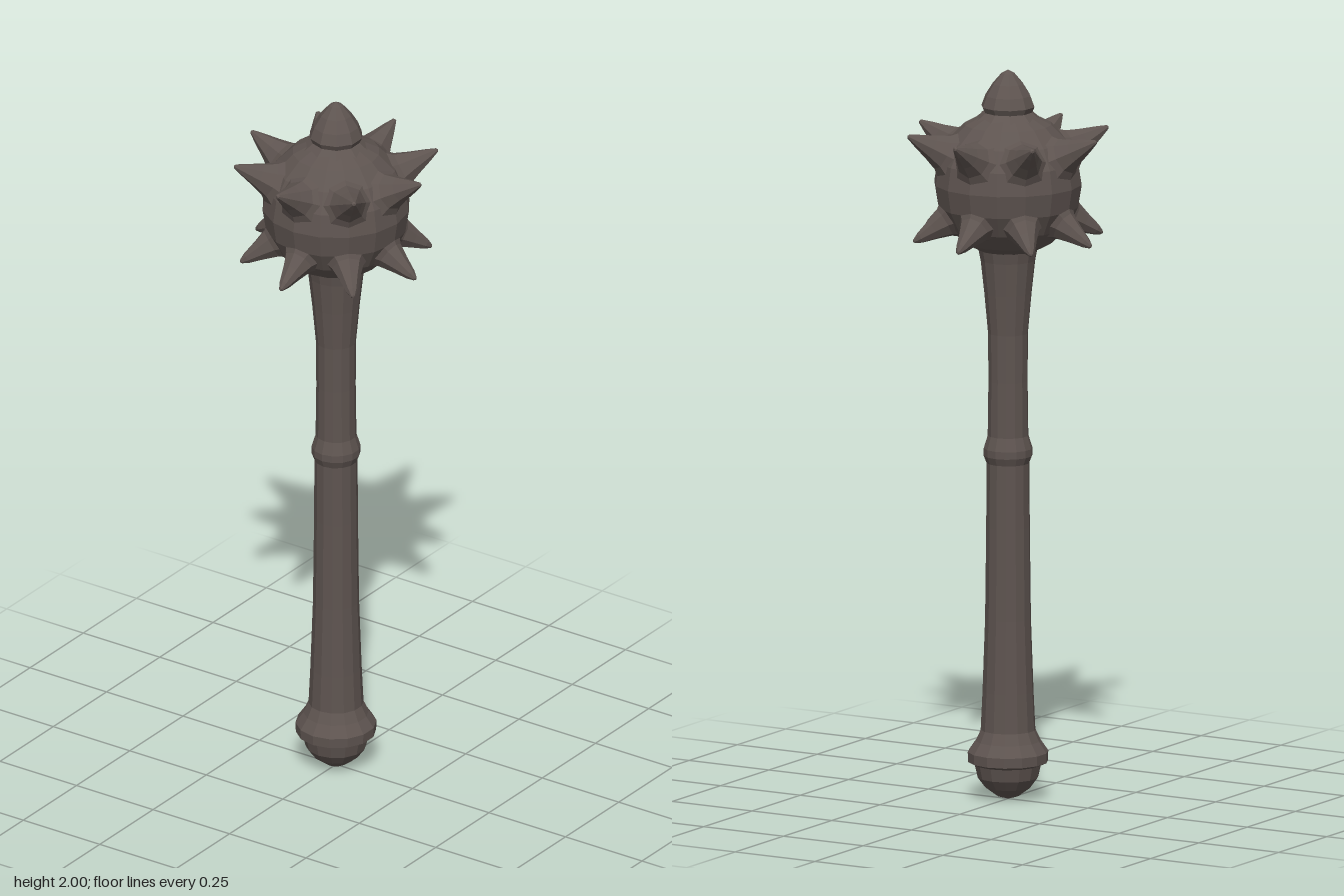
import * as THREE from 'three';

const HEAD_Y = 1.69;
const HEAD_RADIUS = 0.2;

export function createModel() {
  const iron = new THREE.MeshStandardMaterial({ color: 0x5e5450, flatShading: true });
  iron.name = 'darkIron';

  const mace = new THREE.Group();
  mace.name = 'spikedMace';

  // Turned part from [radius, height] pairs listed bottom to top
  const turned = (name, profile, sides, parent = mace) => {
    const points = profile.map(([r, y]) => new THREE.Vector2(r, y));
    const mesh = new THREE.Mesh(new THREE.LatheGeometry(points, sides), iron);
    mesh.name = name;
    parent.add(mesh);
    return mesh;
  };

  // Pommel: rounded knob ending in a blunt point, with a rim on top
  turned('pommel', [
    [0, 0.005], [0.03, 0.014], [0.062, 0.038], [0.082, 0.065], [0.09, 0.1],
    [0.108, 0.108], [0.109, 0.135], [0.088, 0.165], [0.074, 0.195],
  ], 14);

  // Lower grip, flaring slightly toward the pommel
  turned('lowerGrip', [
    [0.074, 0.195], [0.069, 0.3], [0.062, 0.5], [0.059, 0.75], [0.058, 0.93],
  ], 14);

  // Collar at mid handle
  turned('collar', [
    [0.058, 0.925], [0.066, 0.945], [0.066, 0.965], [0.055, 1.0],
  ], 14);

  // Upper shaft, widening into the head
  turned('upperShaft', [
    [0.055, 1.0], [0.053, 1.15], [0.054, 1.28], [0.064, 1.39],
    [0.074, 1.48], [0.08, 1.51], [0.11, 1.545],
  ], 14);

  // Round head
  const head = new THREE.Group();
  head.name = 'head';
  head.position.y = HEAD_Y;
  mace.add(head);
  const ball = new THREE.Mesh(new THREE.SphereGeometry(HEAD_RADIUS, 16, 10), iron);
  ball.name = 'ball';
  head.add(ball);

  // Two rings of eight flared spikes pointing out from the ball
  const rings = [
    { name: 'upperSpike', pitch: 0.47, reach: 0.312, width: 1 },
    { name: 'lowerSpike', pitch: -0.52, reach: 0.302, width: 0.85 },
  ];
  const up = new THREE.Vector3(0, 1, 0);
  for (const { name, pitch, reach, width } of rings) {
    for (let i = 0; i < 8; i++) {
      const turn = (i * Math.PI) / 4;
      const direction = new THREE.Vector3(
        Math.cos(pitch) * Math.sin(turn), Math.sin(pitch), Math.cos(pitch) * Math.cos(turn));
      const spike = turned(name, [
        [0.072 * width, 0.178], [0.05 * width, 0.202], [0.034 * width, 0.238],
        [0.018 * width, 0.28], [0.006, reach - 0.004], [0, reach],
      ], 8, head);
      spike.quaternion.setFromUnitVectors(up, direction);
    }
  }

  // Pointed finial on a short neck
  turned('finial', [
    [0.09, 1.865], [0.066, 1.885], [0.073, 1.9], [0.062, 1.93],
    [0.042, 1.962], [0.018, 1.99], [0, 2.0],
  ], 10);

  return mace;
}
